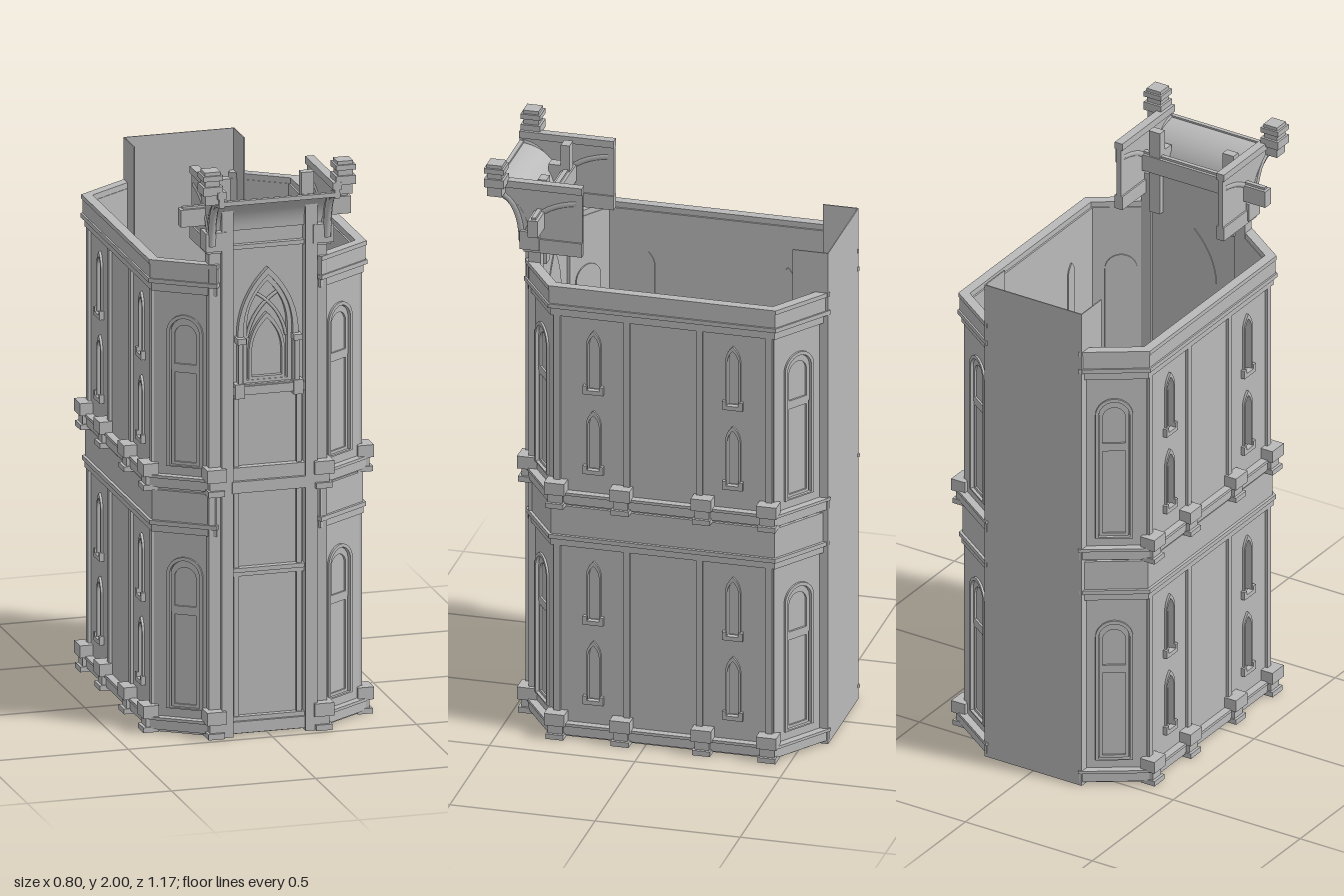
import * as THREE from 'three';

const stone = new THREE.MeshStandardMaterial({ color: 0xbababa, side: THREE.DoubleSide });
stone.name = 'grey stone';

function add(parent, name, geo) {
  const m = new THREE.Mesh(geo, stone);
  m.name = name;
  parent.add(m);
  return m;
}

// Box given by its min / max limits on each axis
function box(parent, name, x0, x1, y0, y1, z0, z1) {
  const m = add(parent, name, new THREE.BoxGeometry(x1 - x0, y1 - y0, z1 - z0));
  m.position.set((x0 + x1) / 2, (y0 + y1) / 2, (z0 + z1) / 2);
  return m;
}

// Arch outline: pointed or round head, half-width w, from y0 to apex y1
function arch(T, cx, w, y0, y1, pointed) {
  const s = new T();
  const spring = pointed ? y1 - w * 2.1 : y1 - w;
  s.moveTo(cx - w, y0);
  s.lineTo(cx + w, y0);
  s.lineTo(cx + w, spring);
  if (pointed) {
    s.quadraticCurveTo(cx + w * 0.95, spring + w * 1.2, cx, y1);
    s.quadraticCurveTo(cx - w * 0.95, spring + w * 1.2, cx - w, spring);
  } else s.absarc(cx, spring, w, 0, Math.PI, false);
  s.closePath();
  return s;
}

function rect(x0, x1, y0, y1) {
  return new THREE.Shape([[x0, y0], [x1, y0], [x1, y1], [x0, y1]].map(p => new THREE.Vector2(...p)));
}

function plate(parent, name, shape, holes, z0, z1) {
  shape.holes.push(...holes);
  const geo = new THREE.ExtrudeGeometry(shape, { depth: z1 - z0, bevelEnabled: false, curveSegments: 10 });
  geo.translate(0, 0, z0);
  return add(parent, name, geo);
}

// Moulding along a wall, lengthened to meet its neighbour at the corner
function moulding(parent, name, half, y0, y1, d) {
  const e = half + d * 0.53;
  box(parent, name, -e, e, y0, y1, -0.012, d);
}

// Pedestal: tapered foot, die and cap
function pedestal(parent, x, w, y, d) {
  box(parent, 'pedestalFoot', x - w * 0.44, x + w * 0.44, y, y + 0.018, -0.01, d - 0.002);
  box(parent, 'pedestalDie', x - w * 0.36, x + w * 0.36, y + 0.018, y + 0.05, -0.01, d - 0.012);
  box(parent, 'pedestalCap', x - w / 2, x + w / 2, y + 0.05, y + 0.093, -0.01, d);
}

function trim(g, half, y, upper) {
  moulding(g, 'baseRail', half, y + 0.012, y + 0.045, 0.02);
  moulding(g, 'baseSill', half, y + 0.045, y + 0.055, 0.026);
  if (upper) {
    moulding(g, 'frieze', half, 1.53, 1.57, 0.012);
    moulding(g, 'corniceFillet', half, 1.56, 1.575, 0.024);
    moulding(g, 'cornice', half, 1.575, 1.625, 0.018);
    moulding(g, 'corniceCap', half, 1.625, 1.64, 0.022);
  } else {
    moulding(g, 'stringCourse', half, 0.695, 0.72, 0.012);
    moulding(g, 'stringCap', half, 0.72, 0.735, 0.02);
    moulding(g, 'plainBand', half, 0.735, 0.84, 0.01);
  }
}

// Long side wall with pilasters and two columns of lancets per storey
function sideWall() {
  const g = new THREE.Group();
  g.name = 'sideWall';
  const H = 0.38, lancets = [];
  for (const t of [0, 1]) for (const x of [-0.24, 0.24]) for (const y of [0.14, 0.43])
    lancets.push([x, y + t * 0.838]);
  plate(g, 'wall', rect(-H, H, 0, 1.62),
    lancets.map(([x, y]) => arch(THREE.Path, x, 0.019, y, y + 0.2, true)), -0.018, 0);
  for (const [x, y] of lancets) {
    plate(g, 'windowPane', arch(THREE.Shape, x, 0.021, y, y + 0.205, true), [], -0.022, -0.015);
    plate(g, 'windowFrame', arch(THREE.Shape, x, 0.026, y - 0.008, y + 0.217, true),
      [arch(THREE.Path, x, 0.019, y, y + 0.2, true)], -0.001, 0.008);
    box(g, 'windowSill', x - 0.035, x + 0.035, y - 0.012, y + 0.003, -0.005, 0.015);
    for (const s of [-1, 1]) box(g, 'sillBlock', x + s * 0.028 - 0.007, x + s * 0.028 + 0.007, y - 0.012, y + 0.018, 0, 0.015);
  }
  for (const t of [0, 1]) {
    const y = t * 0.84;
    for (const x of [-0.365, -0.125, 0.125, 0.365])
      box(g, 'pilaster', x - 0.011, x + 0.011, y, y + 0.70, -0.001, 0.01);
    for (const x of [-0.365, -0.14, 0.14, 0.365]) pedestal(g, x, 0.07, y, 0.045);
    trim(g, H, y, t);
  }
  return g;
}

// Diagonal wall with one round-headed blind window per storey
function diagonalWall() {
  const g = new THREE.Group();
  g.name = 'diagonalWall';
  const H = 0.107;
  const niche = y => arch(THREE.Path, 0, 0.052, y + 0.09, y + 0.6, false);
  plate(g, 'wall', rect(-H, H, 0, 1.62), [niche(0), niche(0.84)], -0.014, 0);
  for (const t of [0, 1]) {
    const y = t * 0.84;
    plate(g, 'nichePanel', arch(THREE.Shape, 0, 0.054, y + 0.085, y + 0.602, false), [], -0.018, -0.01);
    plate(g, 'nicheFrame', arch(THREE.Shape, 0, 0.063, y + 0.085, y + 0.612, false), [niche(y)], -0.001, 0.007);
    plate(g, 'windowTracery', arch(THREE.Shape, 0, 0.05, y + 0.42, y + 0.598, false),
      [arch(THREE.Path, 0, 0.038, y + 0.44, y + 0.575, false)], -0.011, -0.003);
    plate(g, 'lowerPanelFrame', rect(-0.048, 0.048, y + 0.09, y + 0.42),
      [rect(-0.038, 0.038, y + 0.1, y + 0.41)], -0.011, -0.004);
    trim(g, H, y, t);
  }
  return g;
}

// Projecting front bay with shafts, panels and a pointed window
function frontBay() {
  const g = new THREE.Group();
  g.name = 'frontBay';
  const opening = arch(THREE.Path, 0, 0.085, 1.215, 1.59, true);
  plate(g, 'bayWall', rect(-0.2, 0.2, 0, 1.77), [opening], 0.415, 0.432);
  plate(g, 'windowPane', arch(THREE.Shape, 0, 0.088, 1.21, 1.595, true), [], 0.412, 0.419);
  plate(g, 'windowArch', arch(THREE.Shape, 0, 0.105, 1.21, 1.615, true), [opening], 0.43, 0.452);
  plate(g, 'innerWindowArch', arch(THREE.Shape, 0, 0.085, 1.215, 1.59, true),
    [arch(THREE.Path, 0, 0.07, 1.225, 1.565, true)], 0.418, 0.438);
  plate(g, 'lancetFrame', arch(THREE.Shape, 0, 0.062, 1.222, 1.455, true),
    [arch(THREE.Path, 0, 0.052, 1.235, 1.435, true)], 0.418, 0.436);
  for (const s of [-1, 1]) {
    const b = (n, a, c, y0, y1, z0, z1) => box(g, n, Math.min(s * a, s * c), Math.max(s * a, s * c), y0, y1, z0, z1);
    // intersecting tracery ribs
    const rib = new THREE.QuadraticBezierCurve3(new THREE.Vector3(s * 0.068, 1.37, 0.428),
      new THREE.Vector3(s * 0.05, 1.47, 0.428), new THREE.Vector3(-s * 0.04, 1.525, 0.428));
    add(g, 'traceryRib', new THREE.TubeGeometry(rib, 10, 0.006, 6));
    b('outerPier', 0.165, 0.205, 0, 1.70, 0.405, 0.447);
    b('frontShaft', 0.125, 0.165, 0, 1.85, 0.42, 0.468);
    b('innerMullion', 0.1, 0.117, 0.06, 1.21, 0.43, 0.447);
    b('windowCapital', 0.083, 0.112, 1.36, 1.38, 0.43, 0.474);
    b('windowShaft', 0.09, 0.105, 1.21, 1.36, 0.43, 0.46);
    b('sillBlock', 0.085, 0.118, 1.17, 1.22, 0.43, 0.465);
    b('pierNeck', 0.16, 0.205, 1.68, 1.72, 0.405, 0.46);
    b('pierCap', 0.15, 0.222, 1.69, 1.755, 0.405, 0.472);
    b('rearPost', 0.123, 0.167, 1.62, 1.925, 0.395, 0.425);
    for (const y of [0, 0.84]) {
      b('pierFoot', 0.158, 0.215, y, y + 0.02, 0.4, 0.48);
      b('pierDie', 0.165, 0.207, y + 0.02, y + 0.05, 0.4, 0.47);
      b('pierBlock', 0.153, 0.22, y + 0.05, y + 0.095, 0.4, 0.482);
    }
  }
  for (const [y0, y1, z] of [[0.01, 0.05, 0.462], [0.05, 0.065, 0.452], [0.55, 0.565, 0.448], [0.565, 0.58, 0.455],
    [0.845, 0.885, 0.47], [0.885, 0.93, 0.458], [1.18, 1.21, 0.458], [1.685, 1.70, 0.45]])
    box(g, 'bayRail', -0.13, 0.13, y0, y1, 0.425, z);
  return g;
}

// Canopy: curved cove, cross beam, side brackets and finials
function canopy() {
  const g = new THREE.Group();
  g.name = 'canopy';
  const N = 12, cove = new THREE.PlaneGeometry(0.42, 1, 1, N), p = cove.attributes.position;
  for (let i = 0; i < p.count; i++) {
    const a = (p.getY(i) + 0.5) * Math.PI / 2;
    p.setY(i, 1.75 + 0.14 * Math.sin(a));
    p.setZ(i, 0.585 - 0.14 * Math.cos(a));
  }
  cove.computeVertexNormals();
  add(g, 'cove', cove);
  box(g, 'coveLip', -0.21, 0.21, 1.88, 1.895, 0.57, 0.585);
  box(g, 'crossBeam', -0.295, 0.295, 1.77, 1.83, 0.39, 0.425);
  box(g, 'beamFillet', -0.285, 0.285, 1.83, 1.838, 0.4, 0.415);
  for (const s of [-1, 1]) {
    const x = s * 0.2;
    const side = new THREE.Shape();
    side.moveTo(0.26, 1.68);
    side.lineTo(0.46, 1.68);
    side.bezierCurveTo(0.46, 1.79, 0.49, 1.87, 0.585, 1.875);
    side.lineTo(0.585, 1.93);
    side.lineTo(0.26, 1.93);
    const panel = plate(g, 'bracketPanel', side, [], 0, 0.018);
    panel.rotation.y = -Math.PI / 2;
    panel.position.x = x + 0.009;
    box(g, 'bracketRail', x - 0.015, x + 0.015, 1.68, 1.73, 0.26, 0.46);
    box(g, 'bracketTop', x - 0.015, x + 0.015, 1.905, 1.93, 0.26, 0.585);
    const ribs = [[[0.455, 1.73], [0.43, 1.85], [0.28, 1.87]], [[0.467, 1.71], [0.47, 1.88], [0.575, 1.89]]];
    for (const r of ribs) {
      const c = new THREE.QuadraticBezierCurve3(...r.map(q => new THREE.Vector3(x, q[1], q[0])));
      add(g, 'bracketRib', new THREE.TubeGeometry(c, 10, 0.014, 6));
    }
    // finial on the outer corner
    const f = x + s * 0.03;
    for (const [w, y0, y1] of [[0.025, 1.885, 1.92], [0.034, 1.92, 1.95], [0.026, 1.95, 1.97], [0.034, 1.97, 1.988], [0.027, 1.988, 2]])
      box(g, 'finial', f - w, f + w, y0, y1, 0.55 - w, 0.55 + w);
  }
  return g;
}

export function createModel() {
  const model = new THREE.Group();
  model.name = 'gothicTower';
  for (const s of [-1, 1]) {
    const wall = sideWall();
    wall.position.set(s * 0.355, 0, -0.06);
    wall.rotation.y = s * Math.PI / 2;
    const a = 0.601;
    const front = diagonalWall(), back = diagonalWall();
    front.position.set(s * 0.2675, 0, 0.38);
    front.rotation.y = s * a;
    back.position.set(s * 0.2675, 0, -0.5);
    back.rotation.y = s * (Math.PI - a);
    model.add(wall, front, back);
    box(model, 'backFlange', s * 0.19 - 0.002, s * 0.19 + 0.002, 0, 1.785, -0.58, -0.46);
  }
  // plain rear panel, taller than the side walls
  box(model, 'backPanel', -0.192, 0.192, 0, 1.785, -0.582, -0.578);
  model.add(frontBay(), canopy());
  return model;
}
